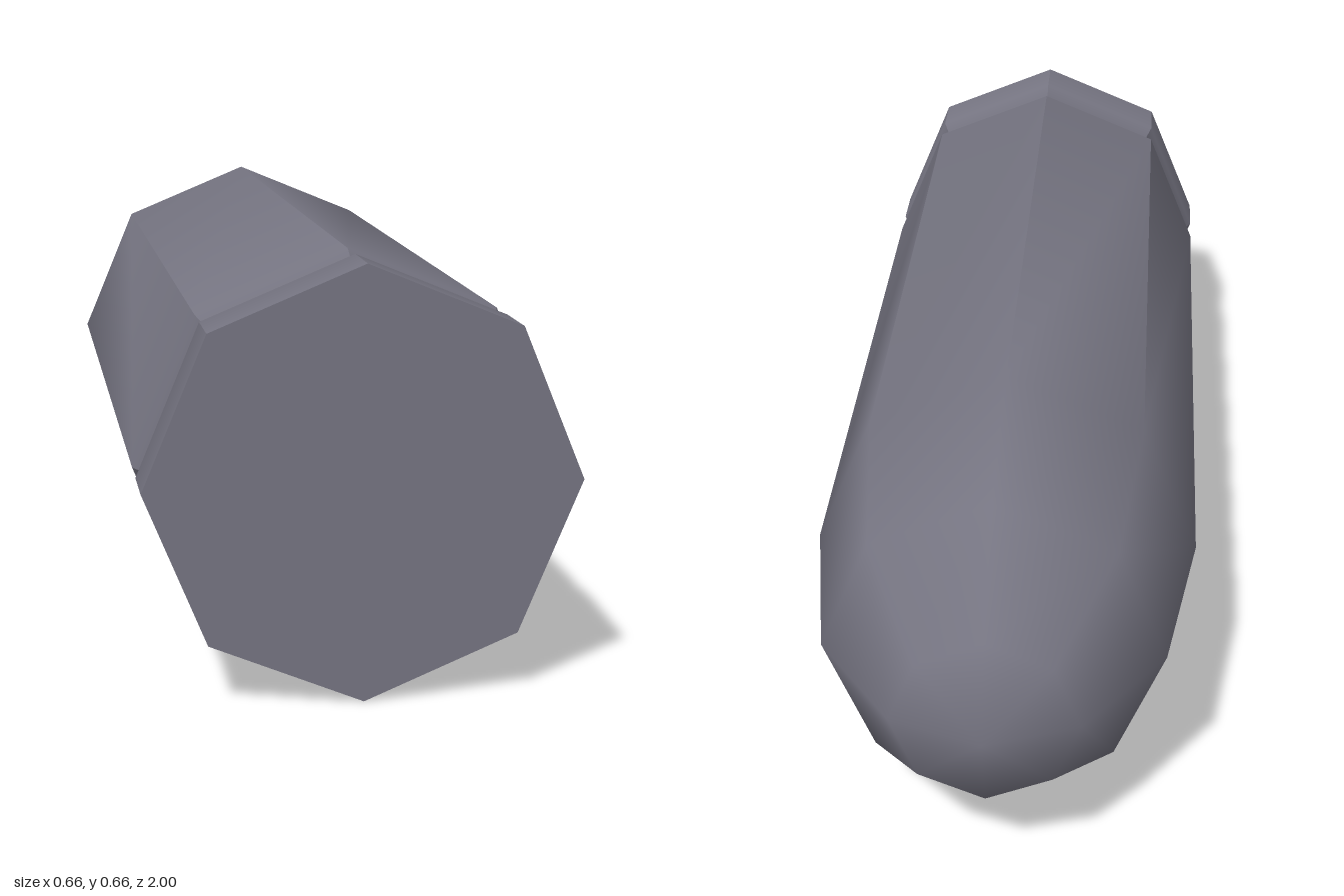
import * as THREE from 'three';

const SIDES = 8, R = 0.329;

// Octagonal shell through rings [z, radius, normal tilt toward -z in degrees, creased]
function shell(rings) {
  const pos = [], nor = [];
  const put = ([z, r, tilt, creased], a, mid) => {
    const t = THREE.MathUtils.degToRad(tilt), b = creased ? mid : a;
    pos.push(Math.sin(a) * r, Math.cos(a) * r, z);
    nor.push(Math.sin(b) * Math.cos(t), Math.cos(b) * Math.cos(t), -Math.sin(t));
  };
  const step = Math.PI * 2 / SIDES;
  for (let i = 0; i < rings.length - 1; i++) {
    const p = rings[i], q = rings[i + 1];
    for (let s = 0; s < SIDES; s++) {
      const a = s * step, b = a + step, m = a + step / 2;
      put(p, a, m); put(p, b, m); put(q, b, m);
      if (q[1] > 0) { put(p, a, m); put(q, b, m); put(q, a, m); }
    }
  }
  const g = new THREE.BufferGeometry();
  g.setAttribute('position', new THREE.Float32BufferAttribute(pos, 3));
  g.setAttribute('normal', new THREE.Float32BufferAttribute(nor, 3));
  return g;
}

export function createModel() {
  const group = new THREE.Group();
  group.name = 'bullet';
  const metal = new THREE.MeshStandardMaterial({ color: 0x767582 });
  metal.name = 'dark grey metal';

  const add = (name, geometry) => {
    const mesh = new THREE.Mesh(geometry, metal);
    mesh.name = name;
    mesh.position.y = R;
    group.add(mesh);
    return mesh;
  };

  // Flat base
  add('base', new THREE.CircleGeometry(R, SIDES)).position.z = 1;

  // Rim with a shallow groove, sharp along the corners
  add('groovedRim', shell([
    [1, R, 0, true], [0.9, R, 14, true], [0.87, 0.313, 0, true], [0.835, R, -8, true],
  ]));

  // Casing: sharp corners at the rim softening toward the nose
  add('casing', shell([[0.835, R, -8, true], [-0.44, R, 4, false]]));

  // Smooth rounded nose
  add('nose', shell([
    [-0.44, R, 4, false], [-0.76, 0.28, 22, false], [-0.945, 0.15, 52, false], [-1, 0, 90, false],
  ]));

  return group;
}
